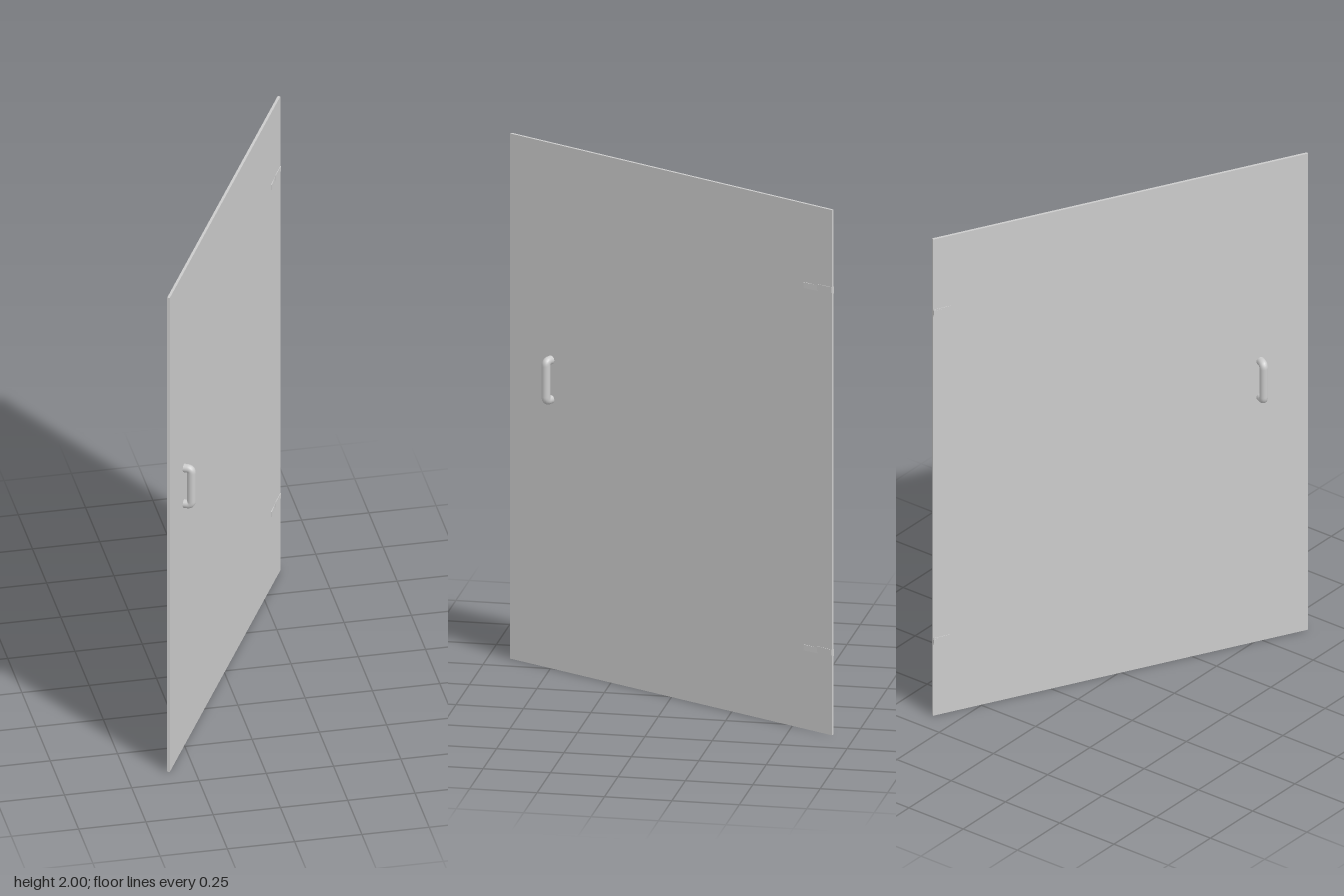
import * as THREE from 'three';

const material = new THREE.MeshStandardMaterial({ color: 0xcccccc });

function addMesh(parent, name, geometry, x = 0, y = 0, z = 0) {
  const mesh = new THREE.Mesh(geometry, material);
  mesh.name = name;
  mesh.position.set(x, y, z);
  parent.add(mesh);
  return mesh;
}

// U-shaped pull with rounded corners, reaching out on one side of the panel
function pullGeometry(side) {
  const half = 0.075, reach = 0.034 * side, bend = 0.016;
  const inner = reach - bend * side;
  const v = (y, z) => new THREE.Vector3(0, y, z);
  const path = new THREE.CurvePath();
  path.add(new THREE.LineCurve3(v(half, 0), v(half, inner)));
  path.add(new THREE.QuadraticBezierCurve3(v(half, inner), v(half, reach), v(half - bend, reach)));
  path.add(new THREE.LineCurve3(v(half - bend, reach), v(bend - half, reach)));
  path.add(new THREE.QuadraticBezierCurve3(v(bend - half, reach), v(-half, reach), v(-half, inner)));
  path.add(new THREE.LineCurve3(v(-half, inner), v(-half, 0)));
  return new THREE.TubeGeometry(path, 60, 0.016, 16, false);
}

export function createModel() {
  const model = new THREE.Group();
  model.name = 'door';

  // Everything is built along x, then swung open about the vertical axis
  const leaf = new THREE.Group();
  leaf.name = 'doorLeaf';
  leaf.rotation.y = 1.0917;
  model.add(leaf);

  addMesh(leaf, 'panel', new THREE.BoxGeometry(1.5, 2, 0.01), 0, 1, 0);

  // A pull on each face
  for (const side of [1, -1]) {
    addMesh(leaf, side > 0 ? 'frontHandle' : 'backHandle', pullGeometry(side), -0.559, 1.1, 0);
  }

  // Two hinges, their straps turned slightly through the panel
  for (const [name, y] of [['lowerHinge', 0.313], ['upperHinge', 1.693]]) {
    const hinge = new THREE.Group();
    hinge.name = name;
    hinge.position.set(0.685, y, 0);
    leaf.add(hinge);
    const strap = addMesh(hinge, 'hingeStrap', new THREE.BoxGeometry(0.13, 0.022, 0.01), 0, -0.003, 0);
    strap.rotation.y = 0.06;
    addMesh(hinge, 'hingePlate', new THREE.BoxGeometry(0.068, 0.022, 0.014), 0.031, 0.002, 0);
  }

  return model;
}
